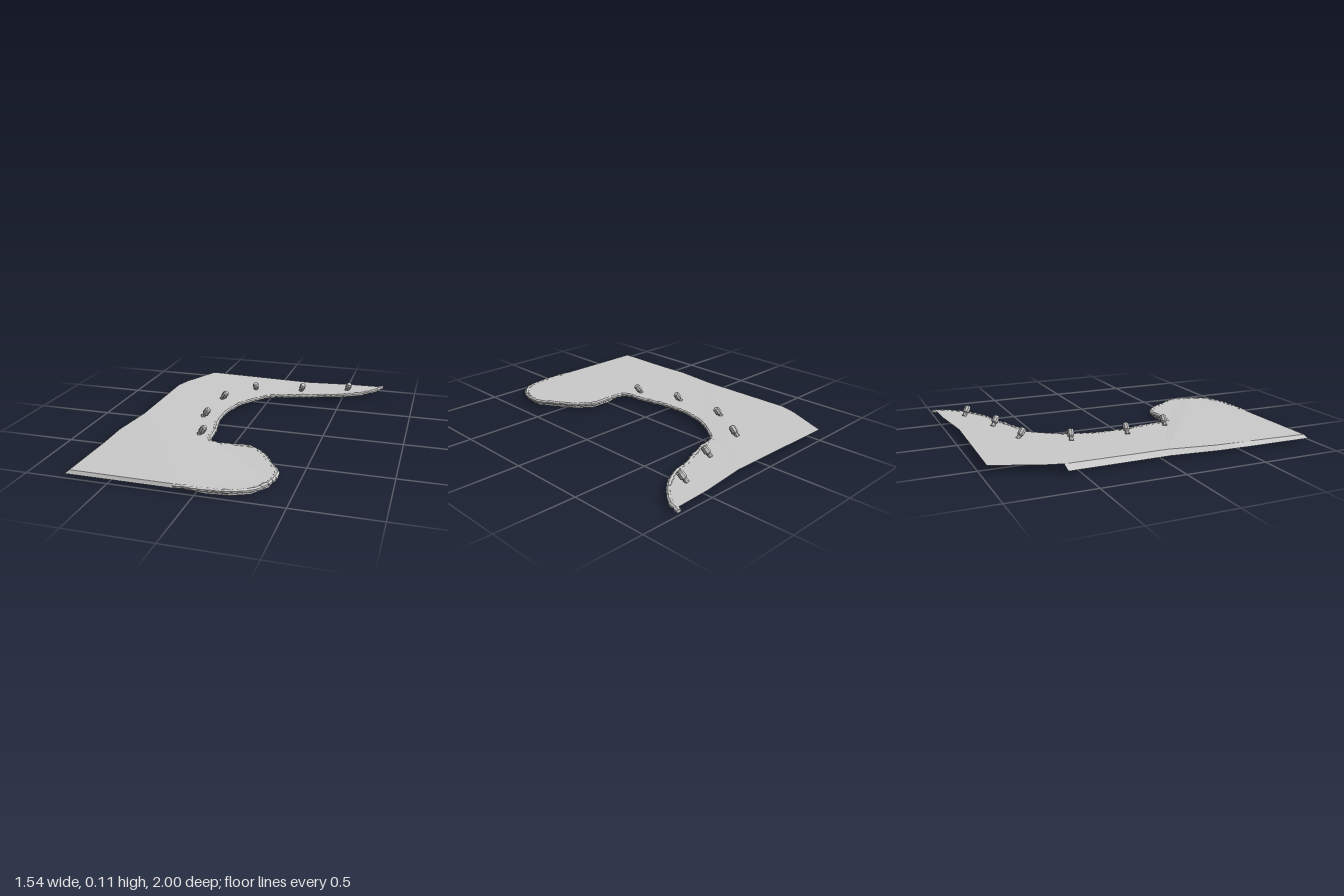
import * as THREE from 'three';

const material = new THREE.MeshStandardMaterial({ color: 0xcccccc, flatShading: true, side: THREE.DoubleSide });

// Waterside edge, as [x, z], from the back tip round the bay and the front lobe
const shore = [
  [0.75, -0.985], [0.73, -0.93], [0.65, -0.83], [0.55, -0.755], [0.45, -0.705], [0.35, -0.685],
  [0.25, -0.645], [0.12, -0.6], [0, -0.57], [-0.08, -0.48], [-0.16, -0.34], [-0.2, -0.18],
  [-0.2, 0], [-0.17, 0.15], [-0.14, 0.34], [-0.1, 0.365], [0, 0.37], [0.13, 0.37],
  [0.22, 0.44], [0.3, 0.56], [0.365, 0.67], [0.355, 0.8], [0.28, 0.905], [0.18, 0.95],
  [0.05, 0.965], [-0.1, 0.968],
];
// Landward edge, from the front left corner to the back
const land = [
  [-0.745, 0.965], [-0.735, 0.56], [-0.735, 0.35], [-0.70, 0.05], [-0.70, -0.58], [-0.67, -0.69],
  [-0.55, -0.96], [0.21, -0.94], [0.52, -0.975],
];

const clamp = (v) => Math.min(1, Math.max(0, v));
// The paving rises slightly towards the back left
const height = (x, z) => 0.036 + 0.01 * clamp((-x - 0.2) / 0.5) * clamp((0.75 - z) / 0.6);
const onTop = ([x, z]) => [x, height(x, z), z];

function seeded(seed) {
  return () => (seed = (seed * 16807) % 2147483647) / 2147483647;
}

function addMesh(parent, name, geometry) {
  const mesh = new THREE.Mesh(geometry, material);
  mesh.name = name;
  parent.add(mesh);
  return mesh;
}

// Strip joining two rows of points
function ribbon(upper, lower) {
  const index = [];
  const n = upper.length;
  for (let i = 0; i < n - 1; i++) index.push(i, i + 1, n + i, i + 1, n + i + 1, n + i);
  const geometry = new THREE.BufferGeometry();
  geometry.setAttribute('position', new THREE.Float32BufferAttribute([...upper, ...lower].flat(), 3));
  geometry.setIndex(index);
  geometry.computeVertexNormals();
  return geometry;
}

// Flat paved surface
function pavingGeometry() {
  const shape = new THREE.Shape([...shore, ...land].map(([x, z]) => new THREE.Vector2(x, -z)));
  const geometry = new THREE.ShapeGeometry(shape);
  geometry.rotateX(-Math.PI / 2);
  const p = geometry.attributes.position;
  for (let i = 0; i < p.count; i++) p.setY(i, height(p.getX(i), p.getZ(i)));
  geometry.computeVertexNormals();
  return geometry;
}

// Uneven, squashed kerb stone
function stoneGeometry(random) {
  const geometry = new THREE.CylinderGeometry(0.5, 0.5, 1, 7, 2);
  geometry.rotateZ(Math.PI / 2);
  const p = geometry.attributes.position;
  for (let i = 0; i < p.count; i++) {
    const pinch = Math.abs(p.getX(i)) > 0.4 ? 0.72 : 1;
    p.setXYZ(i, p.getX(i), p.getY(i) * pinch, p.getZ(i) * pinch);
  }
  geometry.scale(0.044 + random() * 0.012, 0.026 + random() * 0.005, 0.03 + random() * 0.01);
  geometry.computeVertexNormals();
  return geometry;
}

// Kerb stones laid end to end along the shore
function createKerb() {
  const kerb = new THREE.Group();
  kerb.name = 'stoneKerb';
  const random = seeded(17);
  const curve = new THREE.CatmullRomCurve3(shore.map(([x, z]) => new THREE.Vector3(x, 0, z)), false, 'centripetal');
  const count = Math.round(curve.getLength() / 0.044);
  for (let i = 0; i <= count; i++) {
    const t = i / count;
    const point = curve.getPointAt(t);
    const tangent = curve.getTangentAt(t);
    const stone = addMesh(kerb, 'kerbStone', stoneGeometry(random));
    stone.position.set(point.x, 0.027 + (random() - 0.5) * 0.004, point.z);
    stone.rotation.y = Math.atan2(-tangent.z, tangent.x) + (random() - 0.5) * 0.25;
  }
  return kerb;
}

// Mooring bollard with a narrow neck and a heavy head, leaning to the water
function createBollard([x, z, dx, dz]) {
  const profile = [[0, 0], [0.016, 0], [0.013, 0.022], [0.021, 0.03], [0.021, 0.064], [0.014, 0.074], [0, 0.075]];
  const geometry = new THREE.LatheGeometry(profile.map(([r, y]) => new THREE.Vector2(r, y)), 8);
  const bollard = new THREE.Mesh(geometry, material);
  bollard.name = 'bollard';
  const lean = new THREE.Vector3(dx, 0, dz).normalize();
  bollard.position.set(x - lean.x * 0.022, height(x, z), z - lean.z * 0.022);
  bollard.quaternion.setFromUnitVectors(
    new THREE.Vector3(0, 1, 0), lean.multiplyScalar(0.75).setY(1).normalize());
  return bollard;
}

export function createModel() {
  const quay = new THREE.Group();
  quay.name = 'quay';
  addMesh(quay, 'paving', pavingGeometry());

  // Wall under the kerb, deeper round the front lobe
  const foot = shore.map(([x, z]) => [x, z > 0.36 && x > -0.05 ? 0 : 0.016, z]);
  addMesh(quay, 'shoreWall', ribbon(shore.map(onTop), foot));

  // Sloping skirts on the left and front
  const leftTop = land.slice(0, 5);
  const leftFoot = [[-0.77, 0.98], [-0.765, 0.56], [-0.76, 0.35], [-0.73, 0.05], [-0.74, -0.57]];
  addMesh(quay, 'leftSkirt', ribbon(leftTop.map(onTop), leftFoot.map(([x, z]) => [x, 0.016, z])));
  addMesh(quay, 'frontSkirt', ribbon(
    [onTop(shore[shore.length - 1]), onTop(land[0])], [[-0.1, 0.016, 0.98], [-0.77, 0.016, 0.98]]));

  quay.add(createKerb());

  // Bollards as x, z and direction of lean
  const bollards = [
    [0.53, -0.82, 0.5, 0.8], [0.21, -0.71, 0.5, 0.8], [-0.12, -0.64, 0.25, 1],
    [-0.28, -0.38, 1, 0.25], [-0.29, -0.02, 1, 0.05], [-0.21, 0.28, 1, 0.05],
  ];
  for (const b of bollards) quay.add(createBollard(b));
  return quay;
}
